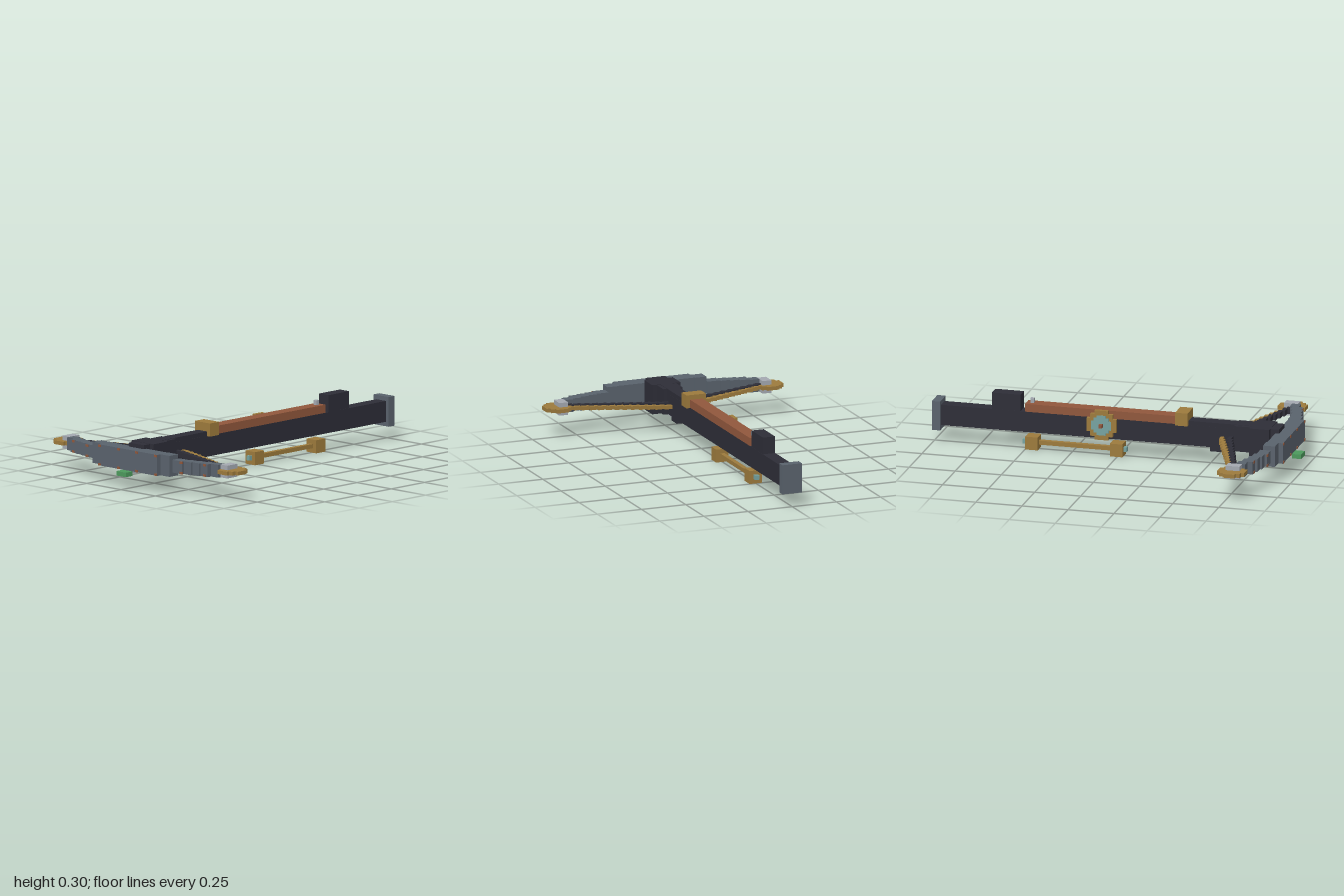
import * as THREE from 'three';

const mat = (name, hex) => {
  const m = new THREE.MeshStandardMaterial({ color: hex });
  m.name = name;
  return m;
};

export function createModel() {
  const dark = mat('dark wood', 0x2d2d37);
  const steel = mat('steel', 0x59626c);
  const pale = mat('pale metal', 0xa3a8b0);
  const copper = mat('copper', 0x90573c);
  const brass = mat('brass', 0x9c7a3c);
  const teal = mat('teal glass', 0x76a3a0);
  const green = mat('green', 0x4c995c);

  const model = new THREE.Group();
  model.name = 'crossbow';

  // box given by its extents on each axis
  const box = (name, m, [x0, x1], [y0, y1], [z0, z1], parent = model) => {
    const mesh = new THREE.Mesh(new THREE.BoxGeometry(x1 - x0, y1 - y0, z1 - z0), m);
    mesh.position.set((x0 + x1) / 2, (y0 + y1) / 2, (z0 + z1) / 2);
    mesh.name = name;
    parent.add(mesh);
    return mesh;
  };
  const mid = (name, m, w, y, z, parent) => box(name, m, [-w, w], y, z, parent);
  const pair = (name, m, [x0, x1], y, z, parent) => {
    box(name + 'Left', m, [x0, x1], y, z, parent);
    box(name + 'Right', m, [-x1, -x0], y, z, parent);
  };

  // stock
  mid('stock', dark, 0.035, [0.096, 0.207], [-0.957, 0.87]);
  mid('frontRail', dark, 0.034, [0.2, 0.23], [0.38, 0.8]);
  mid('copperRail', copper, 0.035, [0.207, 0.25], [-0.5, 0.33]);
  mid('cheekBlock', dark, 0.034, [0.2, 0.297], [-0.68, -0.525]);
  mid('buttPlate', steel, 0.055, [0.072, 0.23], [-1, -0.955]);
  mid('brassBand', brass, 0.055, [0.205, 0.275], [0.32, 0.388]);
  mid('rearSight', pale, 0.01, [0.25, 0.275], [-0.478, -0.458]);

  // bow mount
  mid('mountBlock', dark, 0.054, [0.09, 0.228], [0.64, 0.885]);
  mid('mountCheeks', dark, 0.08, [0.072, 0.23], [0.73, 0.838]);

  // rod beneath, with green foot
  mid('underRod', pale, 0.015, [0.077, 0.092], [0.55, 0.952]);
  mid('rodClip', dark, 0.034, [0.073, 0.098], [0.505, 0.575]);
  mid('foot', green, 0.035, [0.071, 0.095], [0.95, 1]);

  // bow limbs, stepping back toward the tips
  const bow = new THREE.Group();
  bow.name = 'bow';
  model.add(bow);
  mid('bowCentre', steel, 0.215, [0.095, 0.207], [0.865, 0.95], bow);
  const steps = [
    [0.215, 0.28, 0.86, 0.925], [0.28, 0.35, 0.845, 0.902], [0.35, 0.4, 0.833, 0.888],
    [0.4, 0.45, 0.82, 0.877], [0.45, 0.5, 0.805, 0.865], [0.5, 0.55, 0.79, 0.838],
  ];
  steps.forEach(([x0, x1, z0, z1], i) =>
    pair('limb' + i, steel, [x0, x1], i ? [0.115, 0.183] : [0.095, 0.207], [z0, z1], bow));
  pair('limbTip', pale, [0.55, 0.6], [0.115, 0.183], [0.745, 0.82], bow);

  // copper rivets on the front of the bow
  for (const [x, z, ys] of [
    [0.065, 0.95, [0.101, 0.2]], [0.205, 0.95, [0.101, 0.2]],
    [0.342, 0.902, [0.121, 0.176]], [0.478, 0.865, [0.121, 0.176]],
  ]) {
    for (const y of ys) pair('rivet', copper, [x - 0.009, x + 0.009], [y - 0.006, y + 0.006], [z - 0.004, z + 0.003], bow);
  }

  // stepped brass wheels at the limb tips
  const wheelShape = (r) => {
    const s = new THREE.Shape();
    const a = r * 0.45, b = r * 0.76;
    const q = [[r, a], [b, a], [b, b], [a, b], [a, r]];
    for (let k = 0; k < 4; k++) {
      for (const [x, y] of q) {
        const c = Math.round(Math.cos(k * Math.PI / 2)), n = Math.round(Math.sin(k * Math.PI / 2));
        const px = x * c - y * n, py = x * n + y * c;
        if (s.curves.length === 0 && s.currentPoint.lengthSq() === 0) s.moveTo(px, py);
        else s.lineTo(px, py);
      }
    }
    s.closePath();
    return s;
  };
  const disc = (r, depth) => {
    const g = new THREE.ExtrudeGeometry(wheelShape(r), { depth, bevelEnabled: false });
    return g.translate(0, 0, -depth / 2);
  };
  for (const side of [1, -1]) {
    const wheel = new THREE.Mesh(disc(0.074, 0.02), brass);
    wheel.rotation.x = Math.PI / 2;
    wheel.position.set(side * 0.596, 0.149, 0.78);
    wheel.name = side > 0 ? 'wheelLeft' : 'wheelRight';
    model.add(wheel);
  }

  // string and dark cable, in short overlapping steps
  const line = (name, m, n, x0, x1, z0, z1, h, w) => {
    const dx = (x1 - x0) / n;
    for (let i = 0; i < n; i++) {
      const z = z0 + (z1 - z0) * i / (n - 1), x = x0 + dx * i;
      pair(name, m, [x, x + dx + 0.012], [0.149 - h, 0.149 + h], [z - w, z + w]);
    }
  };
  mid('stringCentre', brass, 0.075, [0.139, 0.159], [0.564, 0.584]);
  line('string', brass, 12, 0.07, 0.55, 0.588, 0.755, 0.01, 0.01);
  line('cable', dark, 12, 0.035, 0.56, 0.62, 0.775, 0.015, 0.011);

  // grip bar below the stock
  const grip = new THREE.Group();
  grip.name = 'grip';
  model.add(grip);
  mid('gripBar', brass, 0.012, [0.025, 0.047], [-0.45, 0], grip);
  for (const z of [-0.005, -0.465]) mid('gripBlock', brass, 0.035, [0, 0.07], [z - 0.034, z + 0.034], grip);
  mid('gripGlassFront', teal, 0.012, [0.024, 0.048], [0.029, 0.046], grip);
  mid('gripGlassRear', teal, 0.012, [0.024, 0.048], [-0.52, -0.499], grip);

  // cog on the right side of the stock
  const cog = new THREE.Group();
  cog.name = 'cog';
  cog.position.set(-0.045, 0.172, -0.08);
  cog.rotation.y = -Math.PI / 2;
  const rim = new THREE.Mesh(disc(0.08, 0.02), brass);
  rim.name = 'cogRim';
  const face = new THREE.Mesh(disc(0.054, 0.006), teal);
  face.name = 'cogFace';
  face.position.z = 0.01;
  const axle = new THREE.Mesh(new THREE.BoxGeometry(0.018, 0.018, 0.03), copper);
  axle.name = 'cogAxle';
  axle.position.z = 0.02;
  cog.add(rim, face, axle);
  model.add(cog);

  return model;
}
